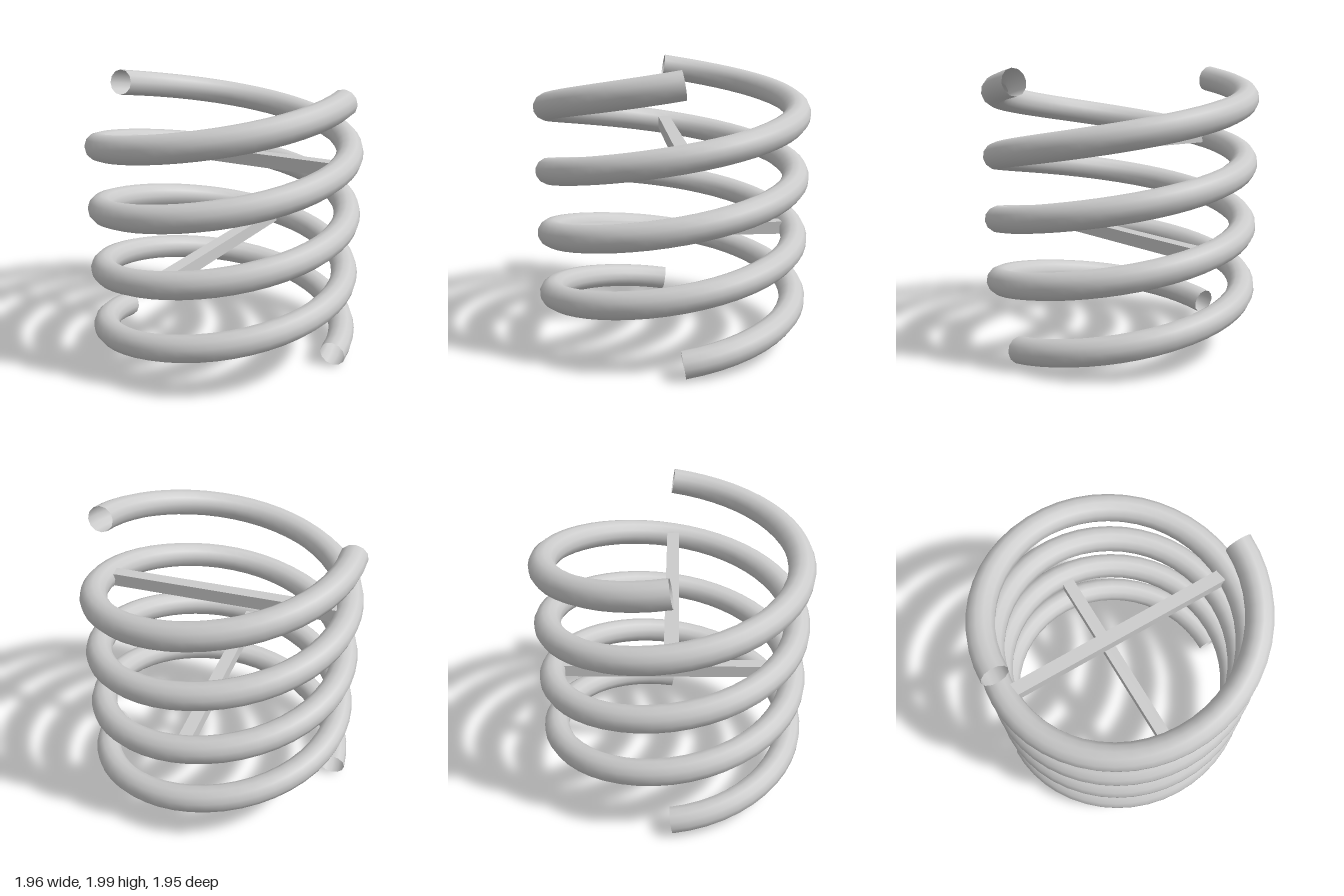
import * as THREE from 'three';

const RADIUS = 0.887;
const TUBE = 0.094;
const BOTTOM = 0.1;
const TOP = 1.907;
const TURNS = 2;
const BAR = 0.092;

// Rising coil centre line
class Helix extends THREE.Curve {
  constructor(start) {
    super();
    this.start = start;
  }
  getPoint(t, target = new THREE.Vector3()) {
    const a = this.start + t * TURNS * Math.PI * 2;
    return target.set(
      RADIUS * Math.cos(a),
      THREE.MathUtils.lerp(BOTTOM, TOP, t),
      -RADIUS * Math.sin(a)
    );
  }
}

export function createModel() {
  const model = new THREE.Group();
  model.name = 'doubleHelix';
  const strandMaterial = new THREE.MeshStandardMaterial({ color: 0xcccccc, side: THREE.DoubleSide });
  const barMaterial = new THREE.MeshStandardMaterial({ color: 0xcccccc });

  // Two open-ended strands, half a turn apart
  [['leftStrand', 0], ['rightStrand', Math.PI]].forEach(([name, start]) => {
    const strand = new THREE.Mesh(
      new THREE.TubeGeometry(new Helix(start), 100, TUBE, 12, false),
      strandMaterial
    );
    strand.name = name;
    model.add(strand);
  });

  // Square rungs joining opposite points of the strands
  [['lowerRung', 0.78, Math.PI / 2], ['upperRung', 1.463, 0]].forEach(([name, y, turn]) => {
    const rung = new THREE.Mesh(new THREE.BoxGeometry(RADIUS * 2, BAR, BAR), barMaterial);
    rung.name = name;
    rung.position.y = y;
    rung.rotation.y = turn;
    model.add(rung);
  });

  return model;
}
